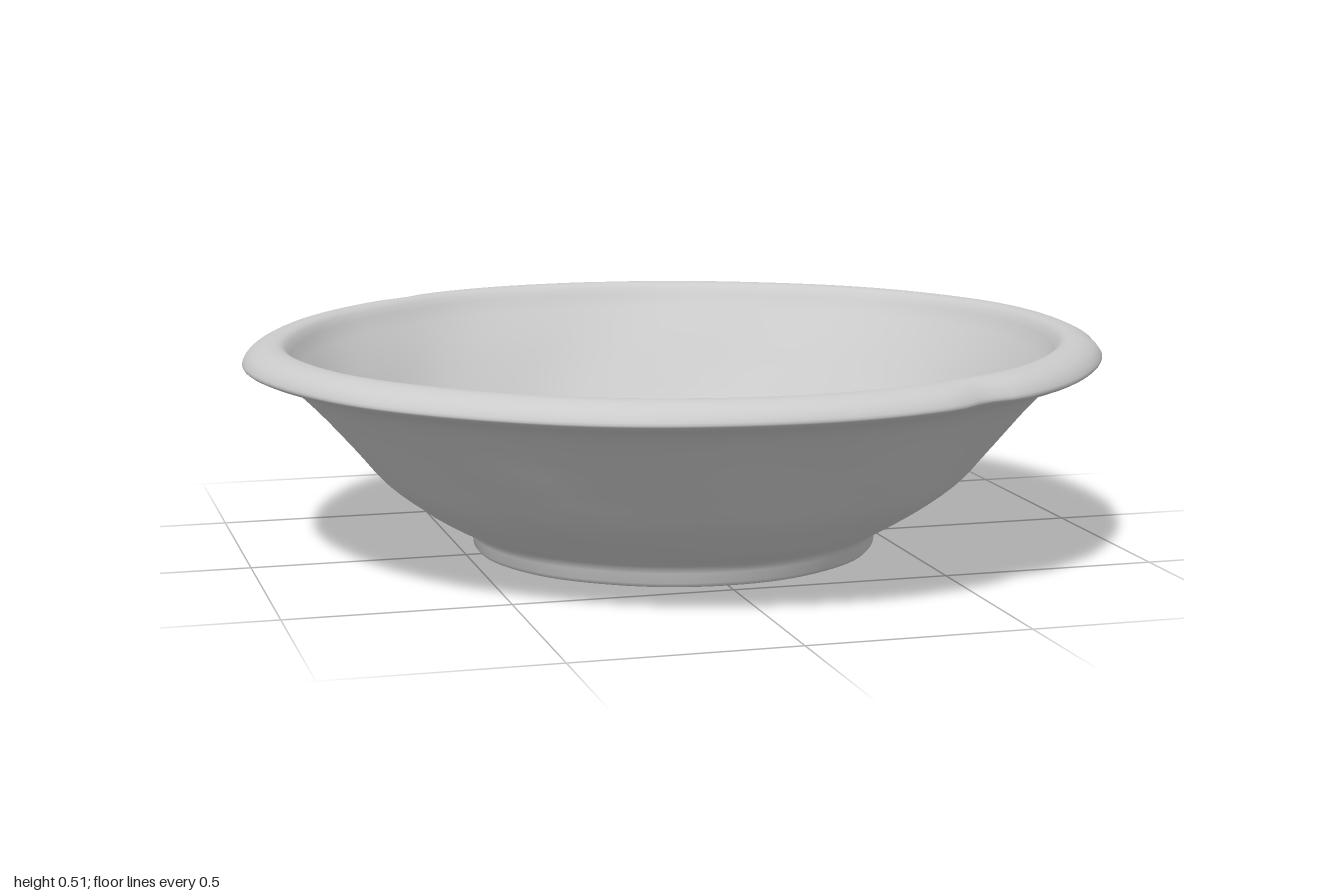
import * as THREE from 'three';
import { mergeVertices } from 'three/addons/utils/BufferGeometryUtils.js';

const vec = (list) => list.map(([r, y]) => new THREE.Vector2(r, y));
const smooth = (list, n) => new THREE.SplineCurve(vec(list)).getPoints(n);

// Small chips in the rim: angle measured from +x towards +z, width, depth
const chips = [[-2.13, 0.05, 0.02], [-1.46, 0.05, 0.015], [1.1, 0.06, 0.02], [0.3, 0.04, 0.008]];

// Hand-shaped unevenness: gentle dents, chipped lip, slightly tilted rim
function handShape(geo) {
  const p = geo.attributes.position;
  for (let i = 0; i < p.count; i++) {
    const x = p.getX(i), y = p.getY(i), z = p.getZ(i);
    const r = Math.hypot(x, z);
    if (r < 1e-4) continue;
    const a = Math.atan2(z, x);
    let dr = 0.003 * Math.sin(5 * a + 9 * y) + 0.002 * Math.sin(11 * a - 17 * y);
    let dy = 0;
    if (r > 0.9) {
      for (const [at, width, depth] of chips) {
        const d = Math.atan2(Math.sin(a - at), Math.cos(a - at)) / width;
        dr -= depth * Math.exp(-d * d) * Math.min(1, (r - 0.9) * 12);
      }
    }
    if (y > 0.08) dy = (0.006 * x + 0.002 * Math.sin(3 * a + 1)) * (y / 0.5);
    else dr *= 0.4;
    // floor of the bowl is a little wavy
    if (r < 0.6 && y > 0.08) dy += 0.004 * Math.sin(6 * x + 1) * Math.cos(5 * z);
    const s = (r + dr) / r;
    p.setXYZ(i, x * s, y + dy, z * s);
  }
}

export function createModel() {
  const group = new THREE.Group();
  group.name = 'bowl';

  // Foot ring with a shallow recess under the base
  const foot = vec([
    [0, 0.024], [0.2, 0.024], [0.42, 0.024], [0.435, 0.014], [0.45, 0.01],
    [0.465, 0.012], [0.474, 0.022], [0.477, 0.045], [0.485, 0.058],
  ]);
  // Flared outer wall
  const outside = smooth([
    [0.49, 0.064], [0.59, 0.12], [0.68, 0.185], [0.75, 0.265],
    [0.84, 0.372], [0.9, 0.43], [0.955, 0.452],
  ], 24);
  // Rolled lip
  const lip = smooth([
    [0.965, 0.454], [0.99, 0.464], [0.996, 0.475], [0.98, 0.497],
    [0.95, 0.512], [0.92, 0.515], [0.9, 0.508], [0.885, 0.488],
  ], 20);
  // Inner wall curving into the wide floor
  const inside = smooth([
    [0.875, 0.47], [0.81, 0.385], [0.74, 0.29], [0.67, 0.205],
    [0.58, 0.145], [0.45, 0.118], [0.25, 0.11], [0, 0.108],
  ], 28);
  inside[inside.length - 1].x = 0;

  let geo = new THREE.LatheGeometry([...foot, ...outside, ...lip, ...inside], 128);
  geo.deleteAttribute('uv');
  geo.deleteAttribute('normal');
  geo = mergeVertices(geo, 1e-4);
  handShape(geo);
  geo.computeVertexNormals();

  const body = new THREE.Mesh(geo, new THREE.MeshStandardMaterial({ color: 0xcccccc }));
  body.name = 'bowlBody';
  group.add(body);
  return group;
}
